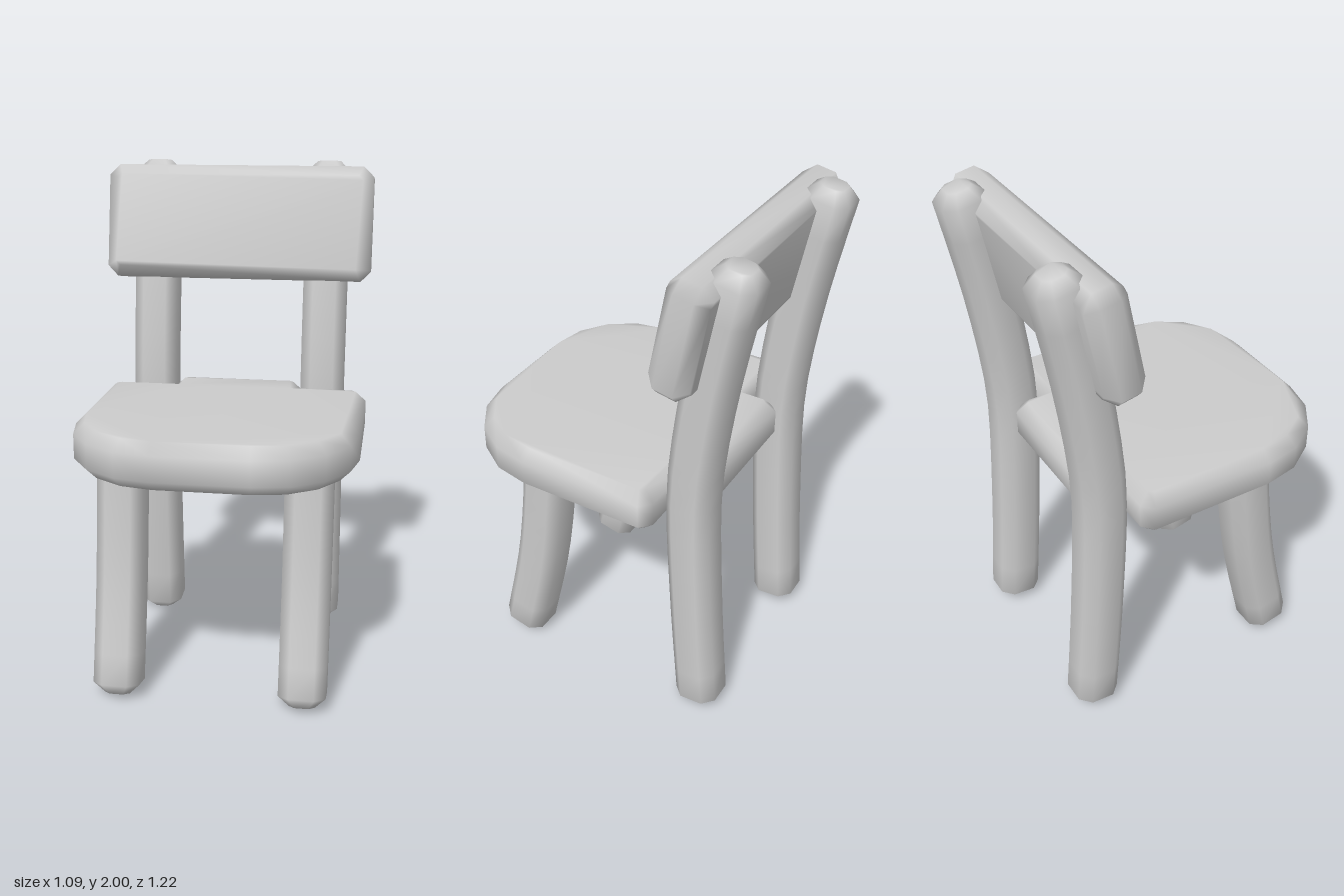
import * as THREE from 'three';
import { mergeVertices } from 'three/addons/utils/BufferGeometryUtils.js';

const BEVEL = 0.042;
const material = new THREE.MeshStandardMaterial({ color: 0xcccccc });

function makeMesh(name, geometry) {
  const mesh = new THREE.Mesh(geometry, material);
  mesh.name = name;
  return mesh;
}

// Slab from an outline, chamfered on both faces, centred in depth, soft edges.
function chamferedSlab(points, thickness) {
  const shape = new THREE.Shape(points.map(([x, y]) => new THREE.Vector2(x, y)));
  const extruded = new THREE.ExtrudeGeometry(shape, {
    depth: thickness - 2 * BEVEL,
    bevelThickness: BEVEL,
    bevelSize: BEVEL,
    bevelOffset: -BEVEL,
    bevelSegments: 1,
  });
  extruded.translate(0, 0, BEVEL - thickness / 2);
  extruded.deleteAttribute('uv');
  extruded.deleteAttribute('normal');
  const geometry = mergeVertices(extruded, 1e-4);
  geometry.computeVertexNormals();
  return geometry;
}

// Mirror a half outline (x > 0) to close it on the other side.
function mirrored(half) {
  return [...half, ...half.map(([x, y]) => [-x, y]).reverse()];
}

// Square bar with chamfered edges and ends, swept along a curve in the yz plane.
function sweptBar(pathPoints, half, segments) {
  const curve = new THREE.CatmullRomCurve3(pathPoints.map(([y, z]) => new THREE.Vector3(0, y, z)));
  const inner = half - BEVEL;
  const section = [
    [half, -inner], [half, inner], [inner, half], [-inner, half],
    [-half, inner], [-half, -inner], [-inner, -half], [inner, -half],
  ];
  const n = section.length;
  const end = BEVEL / curve.getLength();
  const rings = [[0, inner / half]];
  for (let i = 0; i <= segments; i++) rings.push([end + (1 - 2 * end) * (i / segments), 1]);
  rings.push([1, inner / half]);

  const positions = [];
  const index = [];
  rings.forEach(([t, scale], r) => {
    const p = curve.getPointAt(t);
    const d = curve.getTangentAt(t);
    for (const [u, v] of section) {
      positions.push(u * scale, p.y + v * scale * d.z, p.z - v * scale * d.y);
    }
    if (r === 0) return;
    for (let j = 0; j < n; j++) {
      const a = (r - 1) * n + j;
      const b = (r - 1) * n + ((j + 1) % n);
      index.push(a, b, b + n, a, b + n, a + n);
    }
  });
  // End caps
  const last = (rings.length - 1) * n;
  for (let j = 1; j < n - 1; j++) {
    index.push(0, j + 1, j, last, last + j, last + j + 1);
  }
  const geometry = new THREE.BufferGeometry();
  geometry.setAttribute('position', new THREE.Float32BufferAttribute(positions, 3));
  geometry.setIndex(index);
  geometry.computeVertexNormals();
  return geometry;
}

export function createModel() {
  const chair = new THREE.Group();
  chair.name = 'chair';

  // Seat: rounded front, back corners notched around the posts
  const seatOutline = mirrored([
    [0.235, -0.425], [0.275, -0.385], [0.275, -0.3], [0.5, -0.3], [0.543, -0.26],
    [0.543, 0.24], [0.515, 0.38], [0.435, 0.5], [0.315, 0.58], [0.18, 0.607],
  ]);
  const seatGeometry = chamferedSlab(seatOutline, 0.18);
  seatGeometry.rotateX(Math.PI / 2);
  const seat = makeMesh('seat', seatGeometry);
  seat.position.y = 1;
  chair.add(seat);

  // Backrest: chamfered board leaning backwards
  const w = 0.543, h = 0.2285;
  const backOutline = mirrored([
    [w - BEVEL, -h], [w, -h + BEVEL], [w, h - BEVEL], [w - BEVEL, h],
  ]);
  const backrest = makeMesh('backrest', chamferedSlab(backOutline, 0.16));
  backrest.position.set(0, 1.75, -0.393);
  backrest.rotation.x = -0.195;
  chair.add(backrest);

  // Curved legs, [y, z] along each centre line
  const backPath = [[0.003, -0.445], [0.5, -0.408], [1, -0.386], [1.2, -0.398], [1.55, -0.446], [1.99, -0.532]];
  const frontPath = [[0.012, 0.41], [0.47, 0.305], [0.91, 0.248], [1.02, 0.24]];
  const backLeg = sweptBar(backPath, 0.089, 14);
  const frontLeg = sweptBar(frontPath, 0.091, 8);
  for (const [side, sign] of [['left', 1], ['right', -1]]) {
    const back = makeMesh(side + 'BackLeg', backLeg);
    back.position.x = sign * 0.355;
    const front = makeMesh(side + 'FrontLeg', frontLeg);
    front.position.x = sign * 0.36;
    chair.add(back, front);
  }
  return chair;
}
